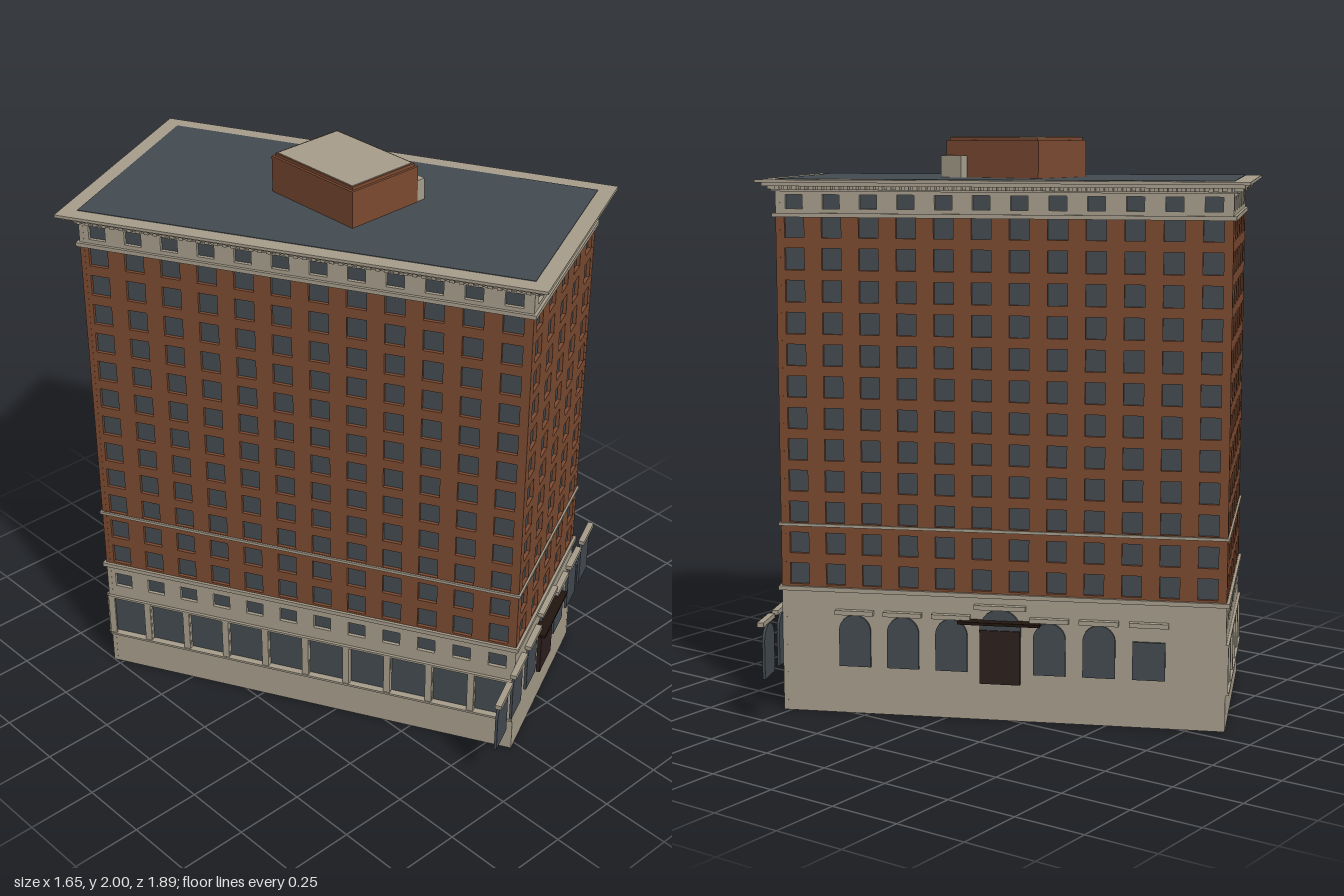
import * as THREE from 'three';
import { mergeGeometries } from 'three/addons/utils/BufferGeometryUtils.js';

const mat = (name, color) => {
  const m = new THREE.MeshStandardMaterial({ color });
  m.name = name;
  return m;
};

export function createModel() {
  const brick = mat('brick', 0x7b4a31);
  const stone = mat('stone', 0xa69d8b);
  const glass = mat('glass', 0x434a50);
  const roofing = mat('roofing', 0x434b50);
  const doorWood = mat('doorWood', 0x2c1f1d);
  const awningDark = mat('awningDark', 0x22150f);

  const model = new THREE.Group();
  model.name = 'cornerTower';

  // Footprint corners (x, z), anticlockwise seen from above
  const corners = [[-0.03, 0.83], [0.61, 0.525], [-0.07, -0.865], [-0.75, -0.535]]
    .map(([x, z]) => new THREE.Vector2(x, z));
  const edges = corners.map((p, i) => {
    const dir = corners[(i + 1) % 4].clone().sub(p);
    const length = dir.length();
    dir.normalize();
    return { p, dir, length, normal: new THREE.Vector2(-dir.y, dir.x) };
  });

  const add = (parent, name, geometry, material) => {
    const mesh = new THREE.Mesh(geometry, material);
    mesh.name = name;
    parent.add(mesh);
    return mesh;
  };
  const box = (w, h, d, x, y, z) => new THREE.BoxGeometry(w, h, d).translate(x, y, z);

  // Footprint grown outwards by d, as (x, -z) points
  edges.forEach((e) => e.normal.set(-e.dir.y, e.dir.x));
  const outline = (d) => corners.map((p, i) => {
    const a = edges[(i + 3) % 4].normal, b = edges[i].normal;
    const k = d / (1 + a.dot(b));
    return new THREE.Vector2(p.x + (a.x + b.x) * k, -(p.y + (a.y + b.y) * k));
  });
  const ring = (name, y0, y1, out, material, hollow = true) => {
    const shape = new THREE.Shape(outline(out));
    if (hollow) shape.holes.push(new THREE.Path(outline(-0.015).reverse()));
    const g = new THREE.ExtrudeGeometry(shape, { depth: y1 - y0, bevelEnabled: false });
    add(model, name, g.rotateX(-Math.PI / 2).translate(0, y0, 0), material);
  };

  // Wall panel with rectangular openings [x, y, w, h] and recessed panes
  const T = 0.016;
  const wall = (parent, name, length, y0, y1, openings, material) => {
    const shape = new THREE.Shape([[0, y0], [length, y0], [length, y1], [0, y1]]
      .map(([x, y]) => new THREE.Vector2(x, y)));
    for (const [x, y, w, h] of openings) {
      shape.holes.push(new THREE.Path([[-1, -1], [-1, 1], [1, 1], [1, -1]]
        .map(([sx, sy]) => new THREE.Vector2(x + sx * w / 2, y + sy * h / 2))));
    }
    const g = new THREE.ExtrudeGeometry(shape, { depth: T, bevelEnabled: false });
    add(parent, name, g.translate(0, 0, -T), material);
    if (openings.length) {
      const panes = openings.map(([x, y, w, h]) => box(w, h, 0.004, x, y, -T + 0.002));
      add(parent, name + 'Panes', mergeGeometries(panes), glass);
    }
  };
  const rowOf = (n, length, y, w, h) =>
    Array.from({ length: n }, (_, i) => [(i + 0.5) * length / n, y, w, h]);

  // Round-headed panel standing on y0, top at y1
  const archPanel = (x, y0, y1, w, round) => {
    const s = new THREE.Shape();
    const r = w / 2;
    s.moveTo(x - r, y0);
    s.lineTo(x + r, y0);
    if (round) s.absarc(x, y1 - r, r, 0, Math.PI, false);
    else { s.lineTo(x + r, y1); s.lineTo(x - r, y1); }
    s.closePath();
    return new THREE.ExtrudeGeometry(s, { depth: 0.009, bevelEnabled: false, curveSegments: 10 });
  };

  // Entrance facade: door in the middle, three arched windows each side
  const entrance = (parent, length, lastIsSquare) => {
    const c = length / 2;
    const arches = [], lintels = [];
    for (let i = -3; i <= 3; i++) {
      const x = c + i * 0.171;
      if (i === 0) {
        arches.push(archPanel(x, 0.3, 0.395, 0.144, true));
        lintels.push(box(0.18, 0.016, 0.022, x, 0.403, 0.011));
      } else {
        const square = lastIsSquare && i === 3;
        arches.push(archPanel(x, 0.17, square ? 0.303 : 0.354, 0.112, !square));
        lintels.push(box(0.135, 0.016, 0.022, x, 0.364, 0.011));
      }
    }
    add(parent, 'archedWindows', mergeGeometries(arches), glass);
    add(parent, 'windowLintels', mergeGeometries(lintels), stone);
    add(parent, 'door', box(0.14, 0.19, 0.014, c, 0.227, 0.007), doorWood);
    add(parent, 'awning', box(0.285, 0.01, 0.045, c, 0.352, 0.0225), awningDark);
  };

  // Shopfront facade: protruding piers, sill and head between wide panes
  const shopfront = (parent, length, bays) => {
    const parts = [];
    for (let i = 0; i <= bays; i++) {
      const x = THREE.MathUtils.clamp(i * length / bays, 0.012, length - 0.012);
      parts.push(box(0.024, 0.17, 0.008, x, 0.215, 0.004));
    }
    parts.push(box(length, 0.008, 0.012, length / 2, 0.132, 0.006));
    parts.push(box(length, 0.008, 0.01, length / 2, 0.3, 0.005));
    add(parent, 'shopfrontPiers', mergeGeometries(parts), stone);
  };

  const facades = [
    { name: 'frontFacade', columns: 5, entry: true },
    { name: 'rightFacade', columns: 12, entry: true, lastIsSquare: true },
    { name: 'backFacade', columns: 6, bays: 5 },
    { name: 'leftFacade', columns: 12, bays: 10 },
  ];
  facades.forEach((f, i) => {
    const { p, dir, length } = edges[i];
    const side = new THREE.Group();
    side.name = f.name;
    side.position.set(p.x, 0, p.y);
    side.rotation.y = Math.atan2(-dir.y, dir.x);
    model.add(side);

    // Base storey
    const baseOpenings = f.entry ? [] : [
      ...rowOf(f.bays, length, 0.216, length / f.bays - 0.026, 0.16),
      ...rowOf(f.columns, length, 0.378, 0.064, 0.055),
    ];
    wall(side, 'baseWall', length, 0, 0.44, baseOpenings, stone);
    if (f.entry) entrance(side, length, f.lastIsSquare);
    else shopfront(side, length, f.bays);

    // Twelve brick storeys
    const windows = [];
    for (let r = 0; r < 12; r++) {
      windows.push(...rowOf(f.columns, length, 0.494 + r * 0.1095, 0.068, 0.074));
    }
    wall(side, 'brickWall', length, 0.44, 1.738, windows, brick);

    // Frieze with small windows, dentils under the cornice
    wall(side, 'frieze', length, 1.738, 1.85, rowOf(f.columns, length, 1.783, 0.06, 0.048), stone);
    const n = Math.round(length / 0.03);
    const dentils = rowOf(n, length).map(([x]) => box(0.015, 0.013, 0.03, x, 1.8305, 0.015));
    add(side, 'dentils', mergeGeometries(dentils), stone);
  });

  // String courses and stepped cornice
  ring('baseCourse', 0.434, 0.449, 0.01, stone);
  ring('lowerCourse', 0.663, 0.673, 0.007, stone);
  ring('upperCourse', 1.731, 1.745, 0.01, stone);
  ring('corniceBed', 1.818, 1.825, 0.012, stone);
  ring('corniceStep', 1.836, 1.848, 0.037, stone);
  ring('corniceTop', 1.848, 1.858, 0.055, stone);
  ring('roof', 1.85, 1.86, 0, roofing, false);

  // Rooftop plant room with a small cabinet beside it
  add(model, 'penthouse', box(0.293, 0.13, 0.39, -0.042, 1.922, -0.014), brick);
  add(model, 'penthouseRim', box(0.275, 0.012, 0.372, -0.042, 1.992, -0.014), brick);
  add(model, 'penthouseRoof', box(0.265, 0.004, 0.36, -0.042, 1.998, -0.014), stone);
  add(model, 'rooftopCabinet', box(0.034, 0.078, 0.088, 0.121, 1.896, 0.135), stone);

  return model;
}
